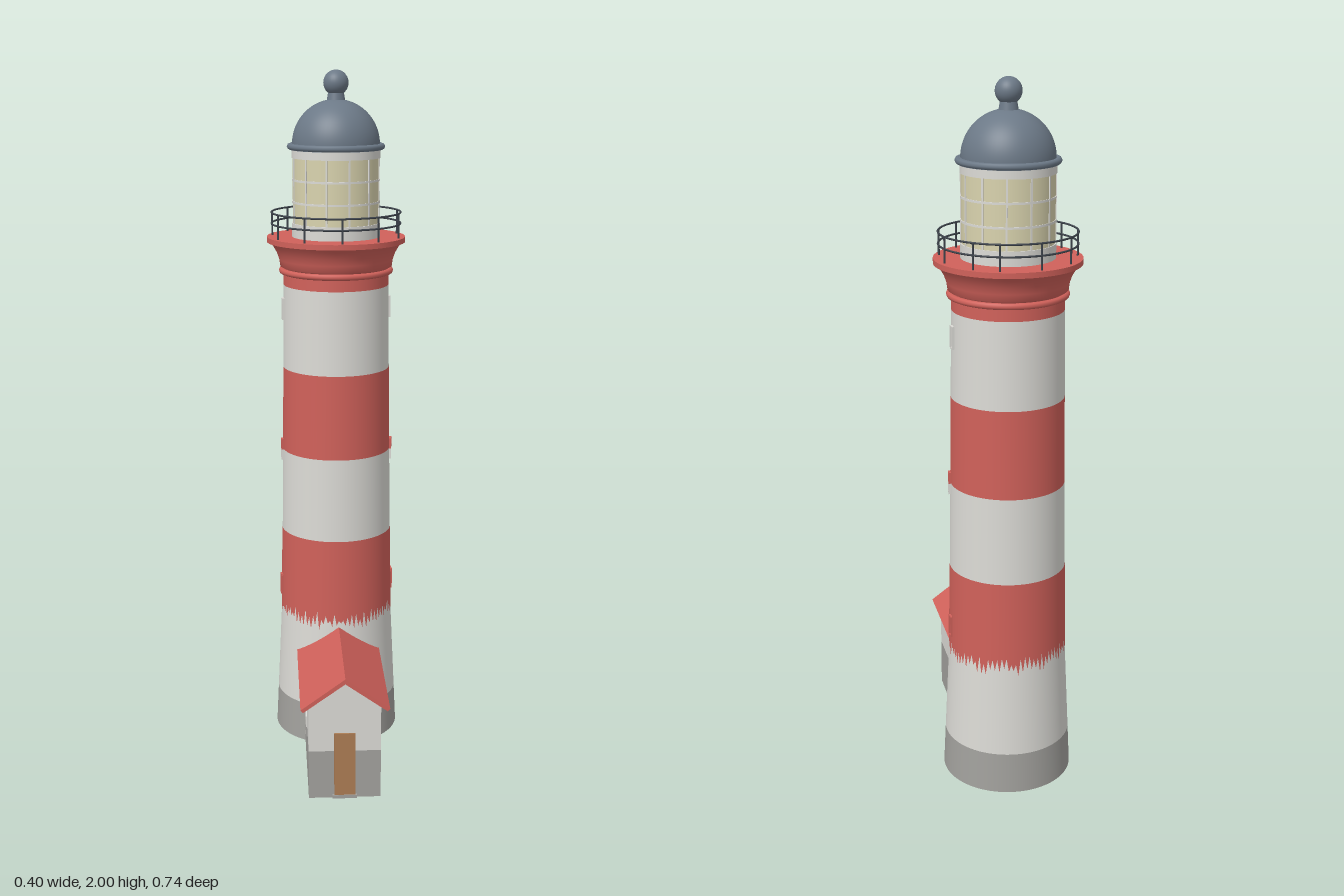
import * as THREE from 'three';

const mat = (name, color) => {
  const m = new THREE.MeshStandardMaterial({ color });
  m.name = name;
  return m;
};

export function createModel() {
  const white = mat('white plaster', 0xdcdbd6);
  const red = mat('red paint', 0xd0615a);
  const grey = mat('grey plinth', 0xa2a19d);
  const slate = mat('slate blue metal', 0x6c7987);
  const cream = mat('cream glass', 0xd9d3ae);
  const iron = mat('dark iron', 0x3e444c);
  const wood = mat('brown wood', 0xac7c54);

  const model = new THREE.Group();
  const tower = new THREE.Group();
  tower.name = 'tower';
  tower.position.z = -0.168;
  const house = new THREE.Group();
  house.name = 'house';
  model.add(tower, house);

  const add = (parent, name, geometry, material, x = 0, y = 0, z = 0) => {
    const mesh = new THREE.Mesh(geometry, material);
    mesh.name = name;
    mesh.position.set(x, y, z);
    parent.add(mesh);
    return mesh;
  };
  const box = (w, h, d) => new THREE.BoxGeometry(w, h, d);
  const cylinder = (parent, name, y0, y1, r0, r1, material, open = false) =>
    add(parent, name, new THREE.CylinderGeometry(r1, r0, y1 - y0, 120, 1, open), material, 0, (y0 + y1) / 2);
  const lathe = (parent, name, points, material) =>
    add(parent, name, new THREE.LatheGeometry(points.map(p => new THREE.Vector2(...p)), 96), material);
  const ring = (parent, name, y, r, tube, material) => {
    add(parent, name, new THREE.TorusGeometry(r, tube, 8, 96), material, 0, y).rotation.x = Math.PI / 2;
  };

  // Tower wall radius at a given height
  const taper = [[0, 0.187], [0.4, 0.168], [0.645, 0.164], [1.145, 0.157], [1.45, 0.153]];
  const radiusAt = y => {
    const i = Math.max(1, taper.findIndex(p => p[0] >= y));
    const [a, b] = [taper[i - 1], taper[i]];
    return a[1] + (b[1] - a[1]) * (y - a[0]) / (b[0] - a[0]);
  };

  // Shaft in coloured bands
  [[0, 0.12, grey], [0.12, 0.4, white], [0.4, 0.645, white], [0.645, 0.895, white],
    [0.895, 1.145, red], [1.145, 1.39, white], [1.39, 1.45, red]].forEach(([y0, y1, m], i) =>
    cylinder(tower, 'shaftBand' + i, y0, y1, radiusAt(y0), radiusAt(y1), m, i > 0));

  // Lowest red band with a ragged brushed edge
  const ragged = new THREE.CylinderGeometry(0.164, 0.168, 0.245, 160, 8, true);
  const pos = ragged.attributes.position;
  for (let i = 0; i < pos.count; i++) {
    const column = (i % 161) % 160;
    const hash = Math.abs(Math.sin(column * 12.9898) * 43758.5453) % 1;
    const bottom = column % 2 ? 0.365 + 0.025 * hash : 0.395 + 0.03 * hash;
    const row = Math.floor(i / 161);
    const y = 0.645 + (bottom - 0.645) * row / 8;
    const r = radiusAt(y) + 0.001;
    const a = column / 160 * Math.PI * 2;
    pos.setXYZ(i, r * Math.sin(a), y, r * Math.cos(a));
  }
  add(tower, 'raggedRedBand', ragged, red);

  // Slim raised window surrounds on both flanks
  const windowFrame = (parent, name, w, h, pick) => {
    const frame = new THREE.Group();
    frame.name = name;
    parent.add(frame);
    for (const s of [-1, 1]) {
      add(frame, 'rail', box(w, 0.004, 0.012), pick(s), 0, s * h / 2, 0);
      for (const t of [-1, 1]) add(frame, 'jamb', box(0.004, h / 2, 0.012), pick(t), s * w / 2, t * h / 4, 0);
    }
    return frame;
  };
  [[1.32, -0.08, 0.1, () => white], [0.893, 0.11, 0.1, s => (s > 0 ? red : white)],
    [0.465, -0.08, 0.15, () => red]].forEach(([y, rightLean, leftLean, pick]) => {
    for (const side of [1, -1]) {
      const angle = side * (Math.PI / 2 - (side > 0 ? rightLean : leftLean));
      const r = radiusAt(y);
      const frame = windowFrame(tower, 'towerWindow', 0.02, 0.06, pick);
      frame.position.set(r * Math.sin(angle), y, r * Math.cos(angle));
      frame.rotation.y = angle;
    }
  });

  // Flared gallery
  ring(tower, 'galleryMoulding', 1.432, 0.158, 0.009, red);
  lathe(tower, 'galleryFlare', [[0.153, 1.44], [0.163, 1.445], [0.166, 1.465], [0.173, 1.485],
    [0.184, 1.504], [0.196, 1.517]], red);
  cylinder(tower, 'galleryDeck', 1.515, 1.53, 0.201, 0.201, red);

  // Gallery railing
  const railing = new THREE.Group();
  railing.name = 'railing';
  tower.add(railing);
  for (const y of [1.568, 1.6]) ring(railing, 'handRail', y, 0.187, 0.0028, iron);
  for (let k = 0; k < 11; k++) {
    const a = (-48 + 33.75 * k) * Math.PI / 180;
    add(railing, 'railPost', new THREE.CylinderGeometry(0.0028, 0.0028, 0.072, 8), iron,
      0.187 * Math.cos(a), 1.565, 0.187 * Math.sin(a));
  }

  // Lantern room with glazing bars
  cylinder(tower, 'lanternBase', 1.53, 1.57, 0.128, 0.128, white);
  cylinder(tower, 'lanternGlass', 1.57, 1.755, 0.125, 0.125, cream, true);
  cylinder(tower, 'lanternHead', 1.755, 1.782, 0.128, 0.128, white);
  for (const y of [1.63, 1.693]) cylinder(tower, 'glazingRing', y - 0.003, y + 0.003, 0.127, 0.127, white);
  for (let k = 0; k < 12; k++) {
    const a = (k + 0.5) / 12 * Math.PI * 2;
    add(tower, 'glazingBar', box(0.005, 0.19, 0.005), white,
      0.125 * Math.sin(a), 1.66, 0.125 * Math.cos(a)).rotation.y = a;
  }

  // Dome, brim and ball finial
  cylinder(tower, 'domeUnderside', 1.778, 1.795, 0.134, 0.134, slate);
  ring(tower, 'domeBrim', 1.787, 0.132, 0.009, slate);
  const dome = new THREE.SphereGeometry(0.126, 64, 20, 0, Math.PI * 2, 0, Math.PI / 2);
  add(tower, 'dome', dome, slate, 0, 1.793);
  cylinder(tower, 'finialNeck', 1.905, 1.94, 0.028, 0.022, slate);
  add(tower, 'finialBall', new THREE.SphereGeometry(0.036, 32, 20), slate, 0, 1.964);

  // Keeper's house: plinth, gabled walls, roof
  const extrude = (points, depth) => new THREE.ExtrudeGeometry(
    new THREE.Shape(points.map(p => new THREE.Vector2(...p))), { depth, bevelEnabled: false });
  const back = -0.05;
  add(house, 'housePlinth', box(0.204, 0.145, 0.34 - back), grey, 0, 0.0725, (0.34 + back) / 2);
  add(house, 'houseWalls', extrude([[-0.102, 0.145], [0.102, 0.145], [0.102, 0.292], [0, 0.366],
    [-0.102, 0.292]], 0.34 - back), white, 0, 0, back);
  add(house, 'houseRoof', extrude([[-0.125, 0.285], [-0.118, 0.277], [0, 0.361], [0.118, 0.277],
    [0.125, 0.285], [0, 0.376]], 0.367 - back), red, 0, 0, back);

  // Door, sill and side window
  add(house, 'door', box(0.06, 0.19, 0.008), wood, 0, 0.105, 0.341);
  add(house, 'doorSill', box(0.07, 0.01, 0.012), grey, 0, 0.005, 0.341);
  const sideWindow = windowFrame(house, 'houseWindow', 0.035, 0.06, s => (s > 0 ? white : grey));
  sideWindow.position.set(-0.1, 0.145, 0.17);
  sideWindow.rotation.y = -Math.PI / 2;

  return model;
}
